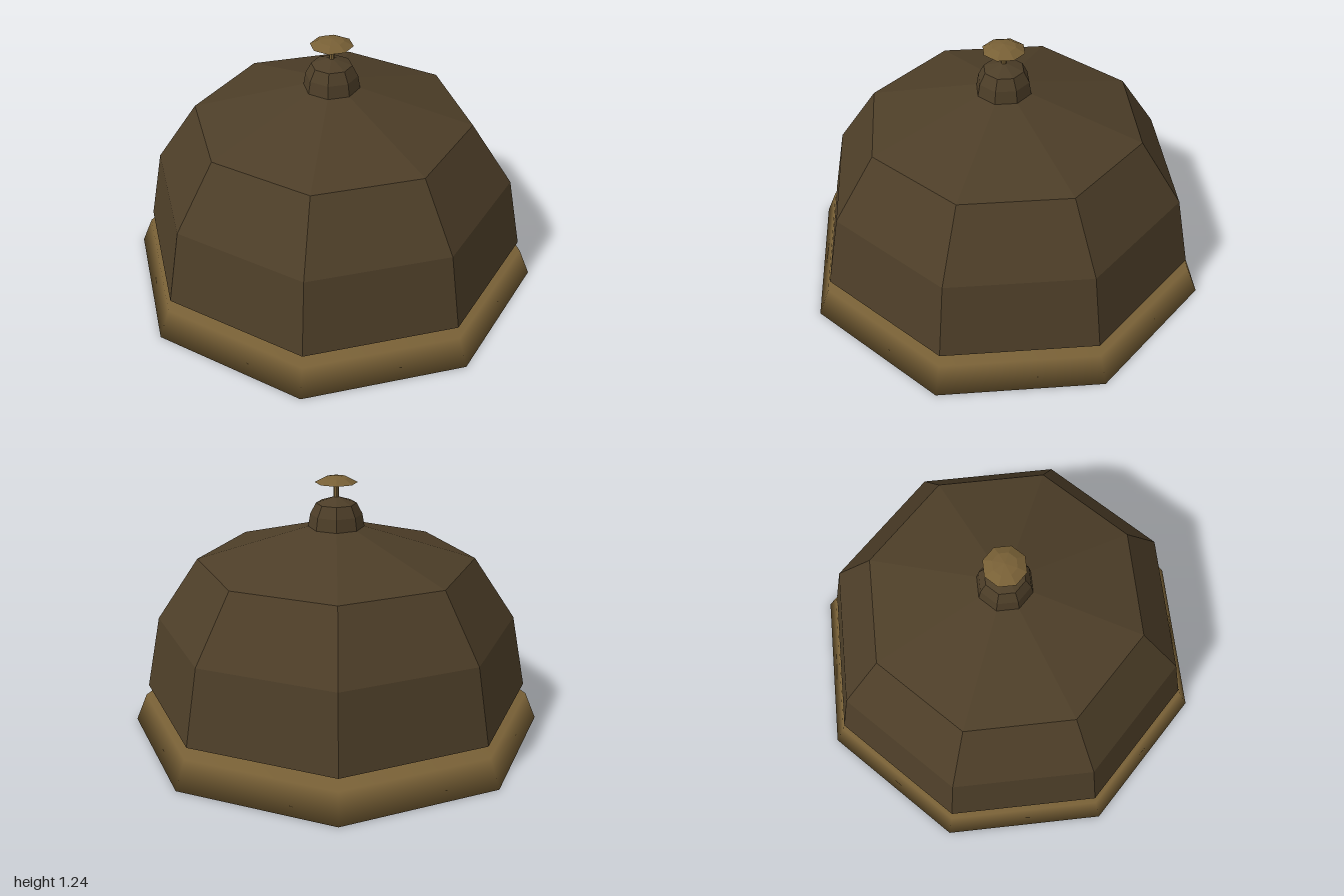
import * as THREE from 'three';

const SIDES = 8;

export function createModel() {
  const group = new THREE.Group();
  group.name = 'serviceBell';

  const bronze = new THREE.MeshStandardMaterial({ color: 0x4d3e28, side: THREE.DoubleSide });
  bronze.name = 'dark bronze';
  const brass = new THREE.MeshStandardMaterial({ color: 0x786036 });
  brass.name = 'aged brass';

  // Eight-sided turned part from [radius, height] pairs, listed bottom to top
  function turned(name, profile, material, faceted) {
    let geometry = new THREE.LatheGeometry(profile.map(([r, y]) => new THREE.Vector2(r, y)), SIDES);
    if (faceted) {
      geometry = geometry.toNonIndexed();
      geometry.computeVertexNormals();
    }
    const mesh = new THREE.Mesh(geometry, material);
    mesh.name = name;
    group.add(mesh);
  }

  // Base plate with softly shaded rim and a shallow conical top
  turned('base', [[0, 0], [1, 0], [0.945, 0.133], [0, 0.185]], brass, false);

  // Hollow bell dome
  turned('dome', [[0.93, 0.185], [0.86, 0.54], [0.66, 0.84], [0.13, 1.0], [0, 1.035]], bronze, true);

  // Collar on top of the dome
  turned('collar', [[0.132, 1.0], [0.122, 1.06], [0.095, 1.112], [0, 1.145]], bronze, true);

  // Plunger stem and push button
  turned('stem', [[0.012, 1.1], [0.012, 1.22]], brass, true);
  turned('button', [[0, 1.21], [0.1, 1.21], [0.057, 1.232], [0, 1.241]], brass, true);

  return group;
}
